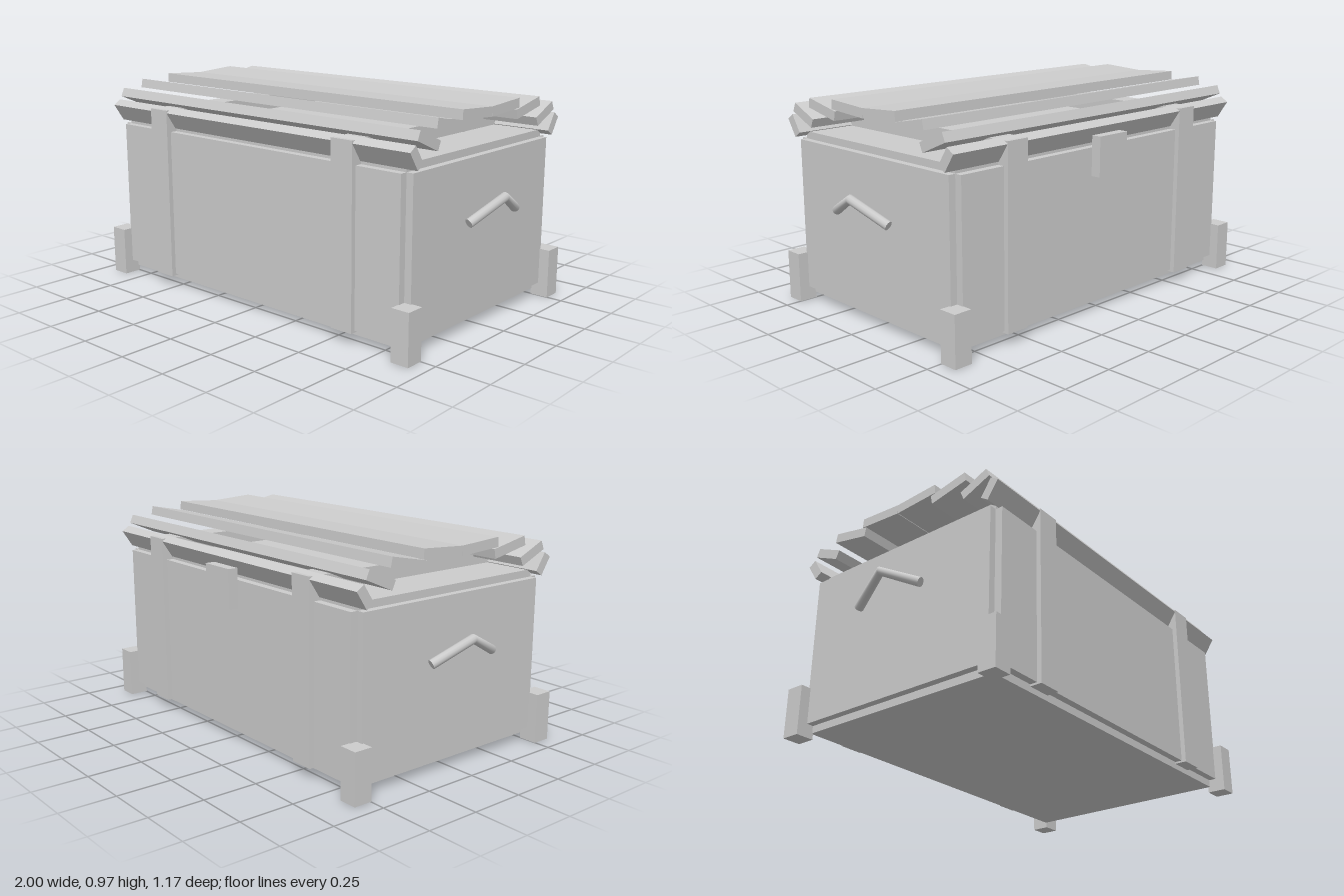
import * as THREE from 'three';

export function createModel() {
  const chest = new THREE.Group();
  chest.name = 'chest';
  const grey = new THREE.MeshStandardMaterial({ color: 0xcccccc });
  grey.name = 'plain grey';

  function add(name, geometry, parent = chest) {
    const mesh = new THREE.Mesh(geometry, grey);
    mesh.name = name;
    parent.add(mesh);
    return mesh;
  }

  // Box given by its lower and upper limits on each axis
  function box(name, [x0, x1], [y0, y1], [z0, z1]) {
    const mesh = add(name, new THREE.BoxGeometry(x1 - x0, y1 - y0, z1 - z0));
    mesh.position.set((x0 + x1) / 2, (y0 + y1) / 2, (z0 + z1) / 2);
    return mesh;
  }

  // Body: three crossing blocks leave a stepped edge all round
  box('bodyCore', [-0.845, 0.845], [0.028, 0.79], [-0.506, 0.506]);
  box('bodySides', [-0.878, 0.878], [0.062, 0.757], [-0.506, 0.506]);
  box('bodyFrontAndBack', [-0.845, 0.845], [0.062, 0.757], [-0.54, 0.54]);

  // Corner feet
  for (const sx of [-1, 1]) {
    for (const sz of [-1, 1]) {
      const foot = box('cornerFoot', [-0.043, 0.043], [0, 0.228], [-0.043, 0.043]);
      foot.position.x = sx * 0.884;
      foot.position.z = sz * 0.541;
    }
  }

  // Straps wrapped around the body
  for (const sx of [-1, 1]) {
    const strap = box('strap', [-0.056, 0.056], [0.053, 0.86], [-0.562, 0.562]);
    strap.position.x = sx * 0.563;
  }

  // Latch plate on the back
  box('latch', [-0.09, 0.09], [0.63, 0.81], [-0.586, -0.54]);

  // Lid slats, each tilted up towards its outer edge: z, y, width, tilt
  const slats = [
    [0.108, 0.944, 0.216, 0.06],
    [0.293, 0.92, 0.192, 0.198],
    [0.44, 0.877, 0.147, 0.41],
    [0.518, 0.821, 0.093, 0.99],
  ];
  for (const side of [-1, 1]) {
    for (const [z, y, width, tilt] of slats) {
      const slat = add('lidSlat', new THREE.BoxGeometry(1.804, 0.043, width));
      slat.position.set(0, y, side * z);
      slat.rotation.x = -side * tilt;
    }
  }

  // Bent bar handles with closed ends
  for (const side of [-1, 1]) {
    const handle = new THREE.Group();
    handle.name = side > 0 ? 'leftHandle' : 'rightHandle';
    chest.add(handle);
    const path = new THREE.CatmullRomCurve3([
      new THREE.Vector3(side * 0.922, 0.499, -0.179),
      new THREE.Vector3(side * 0.979, 0.588, 0),
      new THREE.Vector3(side * 0.922, 0.499, 0.179),
    ]);
    add('handleBar', new THREE.TubeGeometry(path, 2, 0.021, 12), handle);
    for (const t of [0, 1]) {
      const cap = add('handleEnd', new THREE.CircleGeometry(0.021, 12), handle);
      const outward = path.getTangentAt(t).multiplyScalar(t ? 1 : -1);
      cap.position.copy(path.getPointAt(t));
      cap.quaternion.setFromUnitVectors(new THREE.Vector3(0, 0, 1), outward);
    }
  }

  return chest;
}
